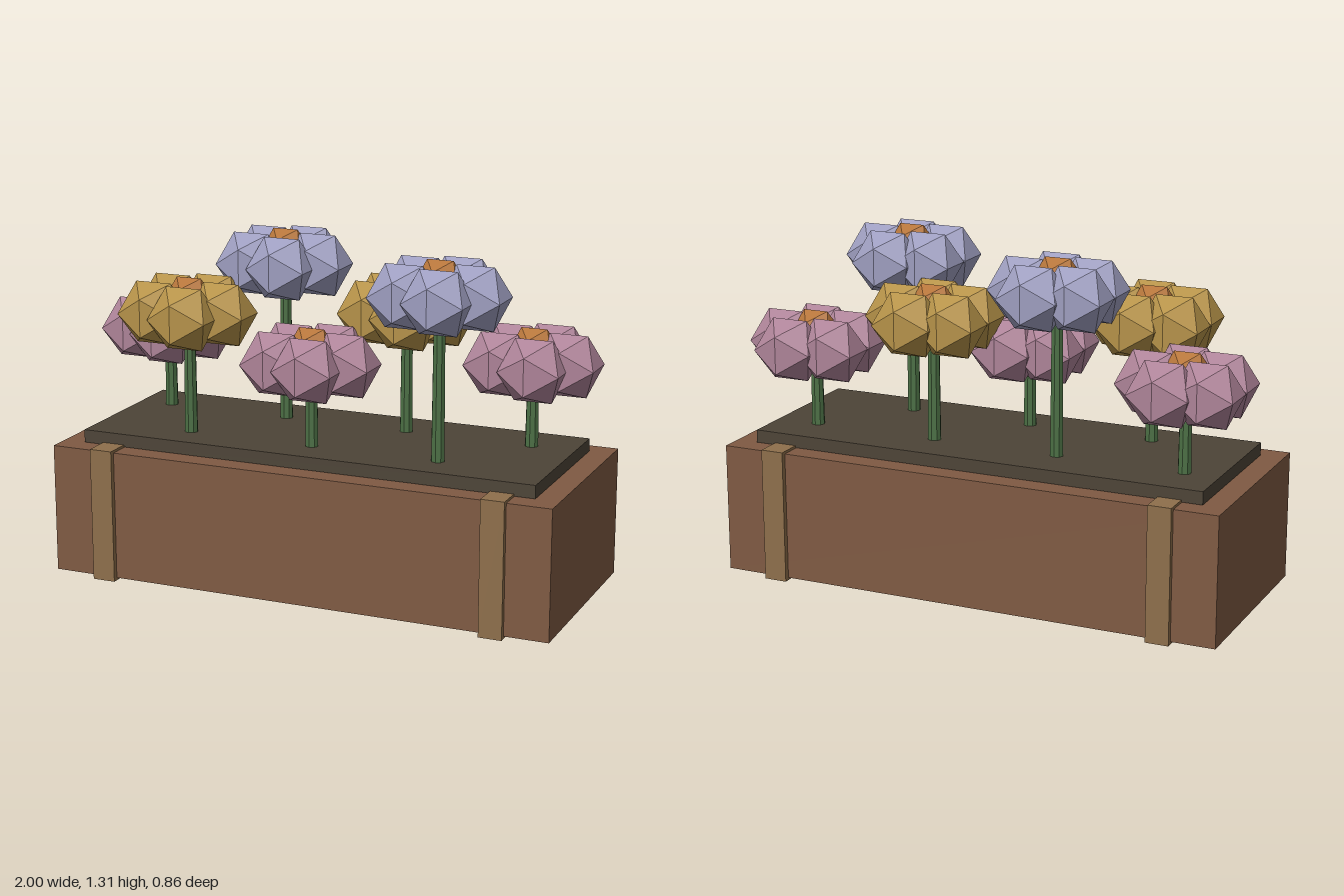
import * as THREE from 'three';

const material = (color) => new THREE.MeshStandardMaterial({ color, flatShading: true });

function addMesh(parent, name, geometry, mat, x, y, z) {
  const mesh = new THREE.Mesh(geometry, mat);
  mesh.name = name;
  mesh.position.set(x, y, z);
  parent.add(mesh);
  return mesh;
}

export function createModel() {
  const model = new THREE.Group();
  model.name = 'flowerPlanter';

  const wood = material(0x7f5a43);
  const strapWood = material(0x8e6f4b);
  const earth = material(0x4d4437);
  const green = material(0x4c7045);
  const orange = material(0xb8773c);
  const petalMaterials = [0xb0859a, 0xb8944a, 0xa0a0c2].map(material);

  // Planter box, soil bed and the two straps wrapped round it
  addMesh(model, 'planterBox', new THREE.BoxGeometry(2, 0.5, 0.814), wood, 0, 0.26, 0);
  addMesh(model, 'soil', new THREE.BoxGeometry(1.82, 0.05, 0.65), earth, 0, 0.537, 0);
  for (const side of [-1, 1]) {
    addMesh(model, 'strap', new THREE.BoxGeometry(0.09, 0.52, 0.856), strapWood, side * 0.785, 0.26, 0);
  }

  // Seven flowers in two staggered rows, with three repeating heights and colours
  const petalGeometry = new THREE.IcosahedronGeometry(0.138, 0);
  const centerGeometry = new THREE.IcosahedronGeometry(0.096, 0);
  const soilTop = 0.55;
  for (let i = 0; i < 7; i++) {
    const kind = i % 3;
    const headY = 0.885 + kind * 0.149;
    const flower = new THREE.Group();
    flower.name = 'flower';
    flower.position.set(-0.775 + i * 0.2522, 0, i % 2 ? 0.18 : -0.146);
    model.add(flower);

    const stemHeight = headY - soilTop;
    addMesh(flower, 'stem', new THREE.CylinderGeometry(0.022, 0.026, stemHeight, 8), green, 0, soilTop + stemHeight / 2, 0);

    // Ring of five faceted petals round a raised center
    for (let p = 0; p < 5; p++) {
      const angle = (p / 5) * Math.PI * 2;
      addMesh(flower, 'petal', petalGeometry, petalMaterials[kind],
        Math.cos(angle) * 0.134, headY, Math.sin(angle) * 0.134);
    }
    addMesh(flower, 'flowerCenter', centerGeometry, orange, 0, headY + 0.047, 0);
  }

  return model;
}
